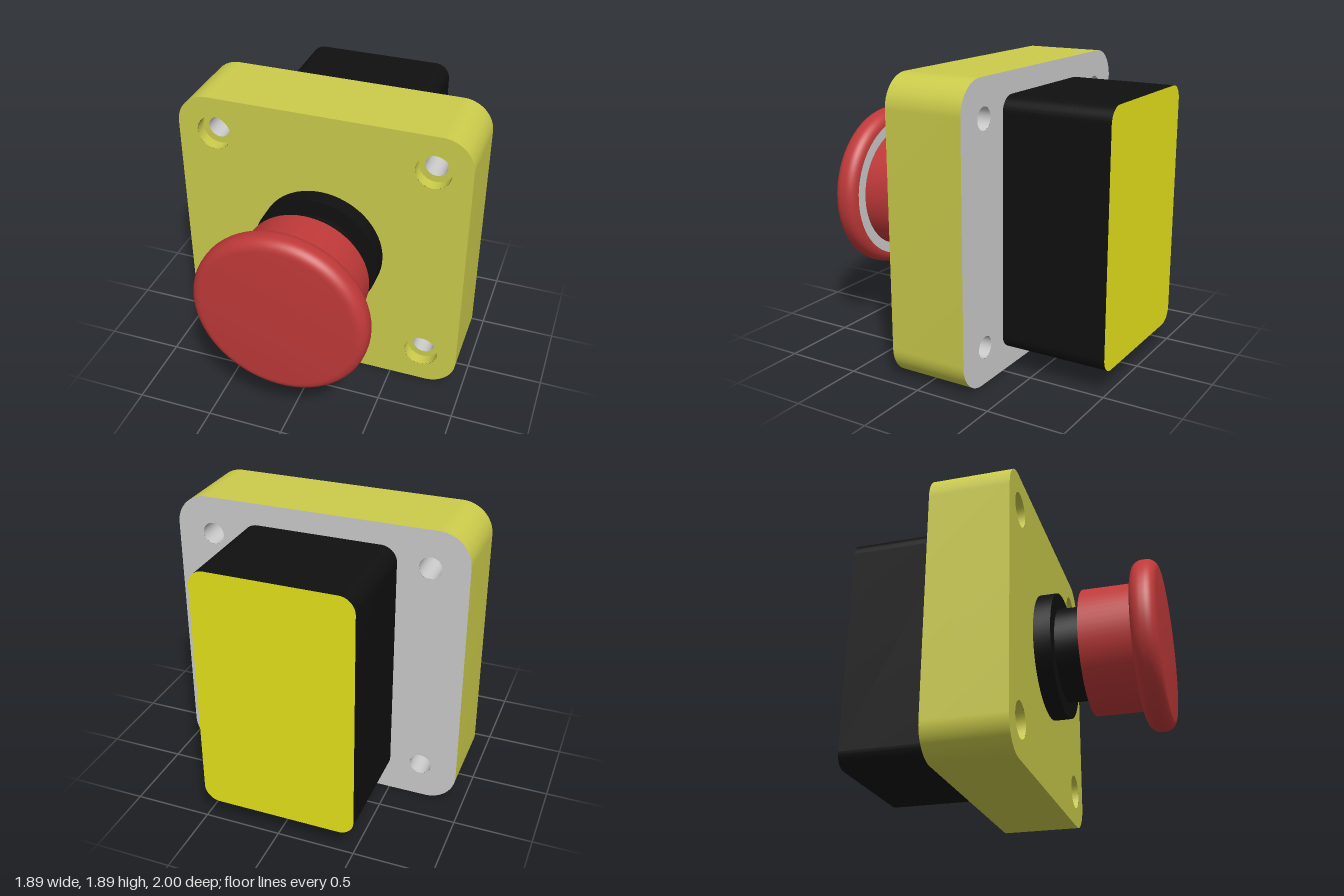
import * as THREE from 'three';
import { toCreasedNormals } from 'three/addons/utils/BufferGeometryUtils.js';

const MID = 0.945; // height of the button axis
const paint = (color) => new THREE.MeshStandardMaterial({ color });
const YELLOW = paint(0xcccc4c), END_YELLOW = paint(0xe6e31a), RED = paint(0xc03939);
const BLACK = paint(0x101010), GREY = paint(0xcccccc);

function addMesh(parent, name, geometry, material) {
  const mesh = new THREE.Mesh(geometry, material);
  mesh.name = name;
  parent.add(mesh);
  return mesh;
}

// Surface of revolution about z; profile points are [radius, z]
function turned(parent, name, profile, material, segments = 64) {
  const points = profile.map(([r, z]) => new THREE.Vector2(r, z));
  const geometry = new THREE.LatheGeometry(points, segments).rotateX(Math.PI / 2);
  return addMesh(parent, name, toCreasedNormals(geometry, 0.6), material);
}

function roundedRect(halfW, halfH, r) {
  const s = new THREE.Shape();
  s.absarc(halfW - r, halfH - r, r, 0, Math.PI / 2);
  s.absarc(-halfW + r, halfH - r, r, Math.PI / 2, Math.PI);
  s.absarc(-halfW + r, -halfH + r, r, Math.PI, Math.PI * 1.5);
  s.absarc(halfW - r, -halfH + r, r, Math.PI * 1.5, Math.PI * 2);
  s.closePath();
  return s;
}

// Only the side walls of an extruded outline
function walls(shape, z0, z1) {
  const full = new THREE.ExtrudeGeometry(shape, { depth: z1 - z0, bevelEnabled: false, curveSegments: 12 });
  const { start, count } = full.groups[1];
  const p = full.attributes.position.array.slice(start * 3, (start + count) * 3);
  const side = new THREE.BufferGeometry();
  side.setAttribute('position', new THREE.BufferAttribute(p, 3));
  return toCreasedNormals(side.translate(0, 0, z0), 0.6);
}

// Flat face at depth z, turned to the back when asked
function face(shape, z, back = false) {
  const geometry = new THREE.ShapeGeometry(shape, 24);
  if (back) geometry.rotateY(Math.PI);
  return geometry.translate(0, 0, z);
}

export function createModel() {
  const model = new THREE.Group();
  model.name = 'emergencyStopButton';
  const body = new THREE.Group();
  body.name = 'body';
  body.position.y = MID;
  model.add(body);

  // Mounting plate with four counterbored screw holes
  const plate = new THREE.Group();
  plate.name = 'mountingPlate';
  body.add(plate);
  const corners = [[-1, -1], [1, -1], [1, 1], [-1, 1]].map(([x, y]) => [x * 0.705, y * 0.705]);
  const outline = (holeRadius) => {
    const s = roundedRect(0.945, 0.945, 0.2);
    for (const [x, y] of corners) s.holes.push(new THREE.Path().absarc(x, y, holeRadius, 0, Math.PI * 2, true));
    return s;
  };
  addMesh(plate, 'plateRim', walls(roundedRect(0.945, 0.945, 0.2), -0.3, 0.22), YELLOW);
  addMesh(plate, 'plateFront', face(outline(0.113), 0.22), YELLOW);
  addMesh(plate, 'plateBack', face(outline(0.07), -0.3, true), GREY);
  for (const [x, y] of corners) {
    turned(plate, 'screwCounterbore', [[0.113, 0.22], [0.113, 0.14], [0.07, 0.14]], YELLOW, 24).position.set(x, y, 0);
    turned(plate, 'screwBore', [[0.07, 0.14], [0.07, -0.3]], GREY, 24).position.set(x, y, 0);
  }

  // Contact housing behind the plate
  const housing = roundedRect(0.5, 0.805, 0.1);
  addMesh(body, 'housingWalls', walls(housing, -1, -0.3), BLACK);
  addMesh(body, 'housingEnd', face(housing, -1, true), END_YELLOW);

  // Collar and neck
  turned(body, 'collar', [[0.415, 0.22], [0.415, 0.33], [0.31, 0.33]], BLACK);
  turned(body, 'neck', [[0.31, 0.33], [0.31, 0.5]], BLACK);

  // Push button: stem and mushroom head with a rounded rim
  turned(body, 'stemBack', [[0.31, 0.5], [0.415, 0.5]], GREY);
  turned(body, 'buttonStem', [[0.415, 0.5], [0.415, 0.835]], RED);
  turned(body, 'headUnderside', [[0.415, 0.835], [0.485, 0.835]], GREY);
  const r = 0.07, head = [];
  for (const [z, from] of [[0.835 + r, -Math.PI / 2], [1 - r, 0]]) {
    for (let i = 0; i <= 8; i++) {
      const a = from + (i / 8) * Math.PI / 2;
      head.push([0.555 - r + r * Math.cos(a), z + r * Math.sin(a)]);
    }
  }
  head.push([0, 1]);
  turned(body, 'buttonHead', head, RED);

  return model;
}
